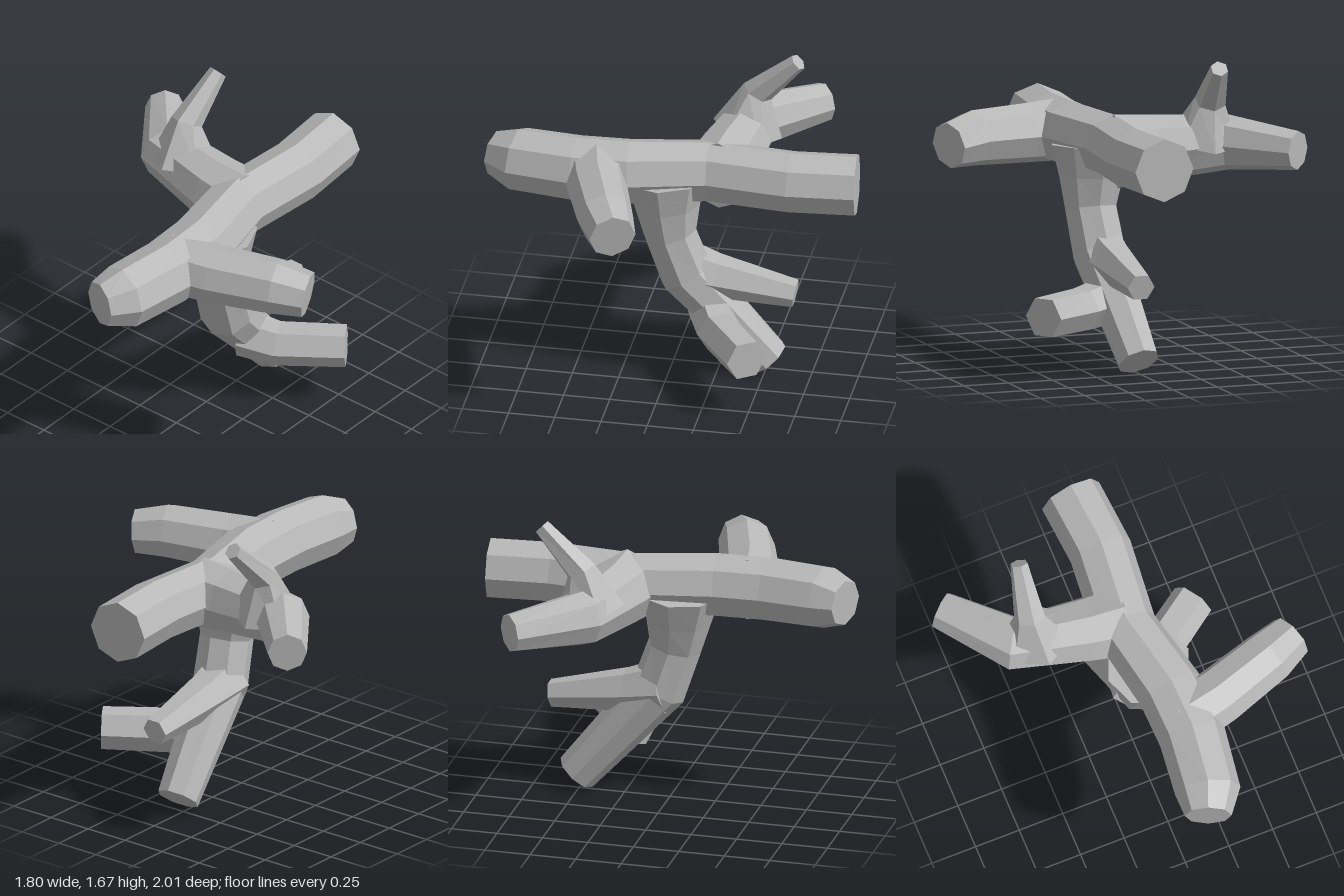
import * as THREE from 'three';

// Faceted limb: rings of n corners swept along points [x, y, z, radius], capped at both ends
function limbGeometry(points, n, ref) {
  const centres = points.map(p => new THREE.Vector3(p[0], p[1], p[2]));
  const pos = [];
  const index = [];
  const last = points.length - 1;
  points.forEach((p, i) => {
    const t = new THREE.Vector3();
    if (i > 0) t.add(centres[i].clone().sub(centres[i - 1]).normalize());
    if (i < last) t.add(centres[i + 1].clone().sub(centres[i]).normalize());
    t.normalize();
    const u = new THREE.Vector3().crossVectors(ref, t).normalize();
    const v = new THREE.Vector3().crossVectors(t, u);
    for (let k = 0; k < n; k++) {
      const a = (k / n) * Math.PI * 2;
      const c = centres[i].clone()
        .addScaledVector(u, Math.cos(a) * p[3])
        .addScaledVector(v, Math.sin(a) * p[3]);
      pos.push(c.x, c.y, c.z);
    }
  });
  for (let i = 0; i < last; i++) {
    for (let k = 0; k < n; k++) {
      const a = i * n + k;
      const b = i * n + (k + 1) % n;
      index.push(a, b, a + n, b, b + n, a + n);
    }
  }
  for (let k = 1; k < n - 1; k++) {
    index.push(0, k + 1, k);
    index.push(last * n, last * n + k, last * n + k + 1);
  }
  const indexed = new THREE.BufferGeometry();
  indexed.setAttribute('position', new THREE.Float32BufferAttribute(pos, 3));
  indexed.setIndex(index);
  const geometry = indexed.toNonIndexed();
  geometry.computeVertexNormals(); // separate corners keep every facet flat
  return geometry;
}

export function createModel() {
  const model = new THREE.Group();
  model.name = 'branch';
  const bark = new THREE.MeshStandardMaterial({ color: 0xb8b8b8 });
  bark.name = 'grey bark';
  const up = new THREE.Vector3(0, 1, 0);
  const side = new THREE.Vector3(1, 0, 0);

  const add = (name, sides, ref, points) => {
    const mesh = new THREE.Mesh(limbGeometry(points, sides, ref), bark);
    mesh.name = name;
    model.add(mesh);
  };

  // Long horizontal log, back to front, with a bevelled front tip
  add('mainLog', 8, up, [
    [0.05, 1.2, -1, 0.17], [0.08, 1.2, -0.65, 0.17], [0.04, 1.2, -0.2, 0.17],
    [0.13, 1.2, 0.22, 0.18], [0.14, 1.2, 0.5, 0.18], [0.1, 1.2, 0.82, 0.175],
    [0.05, 1.2, 0.95, 0.125],
  ]);
  // Stem dropping from the log and bending backwards
  add('stem', 8, side, [
    [0.08, 1.17, 0.03, 0.23], [0.09, 1.0, 0.02, 0.18], [0.1, 0.84, 0, 0.145],
    [0.08, 0.6, -0.08, 0.15], [0.02, 0.09, -0.52, 0.115],
  ]);
  // Left and right stubs of the log
  add('rightArm', 8, up, [
    [0.05, 1.18, -0.25, 0.2], [-0.15, 1.19, -0.27, 0.18],
    [-0.55, 1.21, -0.34, 0.15], [-0.83, 1.2, -0.66, 0.105],
  ]);
  add('leftArm', 8, up, [
    [0.1, 1.2, 0.4, 0.17], [0.35, 1.2, 0.345, 0.16],
    [0.68, 1.21, 0.24, 0.15], [0.84, 1.19, 0.17, 0.125],
  ]);
  // Thin upright shoot
  add('uprightShoot', 6, side, [
    [-0.42, 1.22, -0.32, 0.19], [-0.44, 1.44, -0.37, 0.085], [-0.41, 1.655, -0.595, 0.048],
  ]);
  // Two short shoots on the lower stem
  add('lowerSideShoot', 6, up, [
    [0.07, 0.38, -0.22, 0.13], [0.25, 0.35, -0.29, 0.12], [0.55, 0.355, -0.5, 0.115],
  ]);
  add('lowerBackShoot', 6, up, [
    [0.06, 0.62, -0.05, 0.15], [0.06, 0.58, -0.24, 0.12], [0.06, 0.515, -0.67, 0.075],
  ]);

  return model;
}
